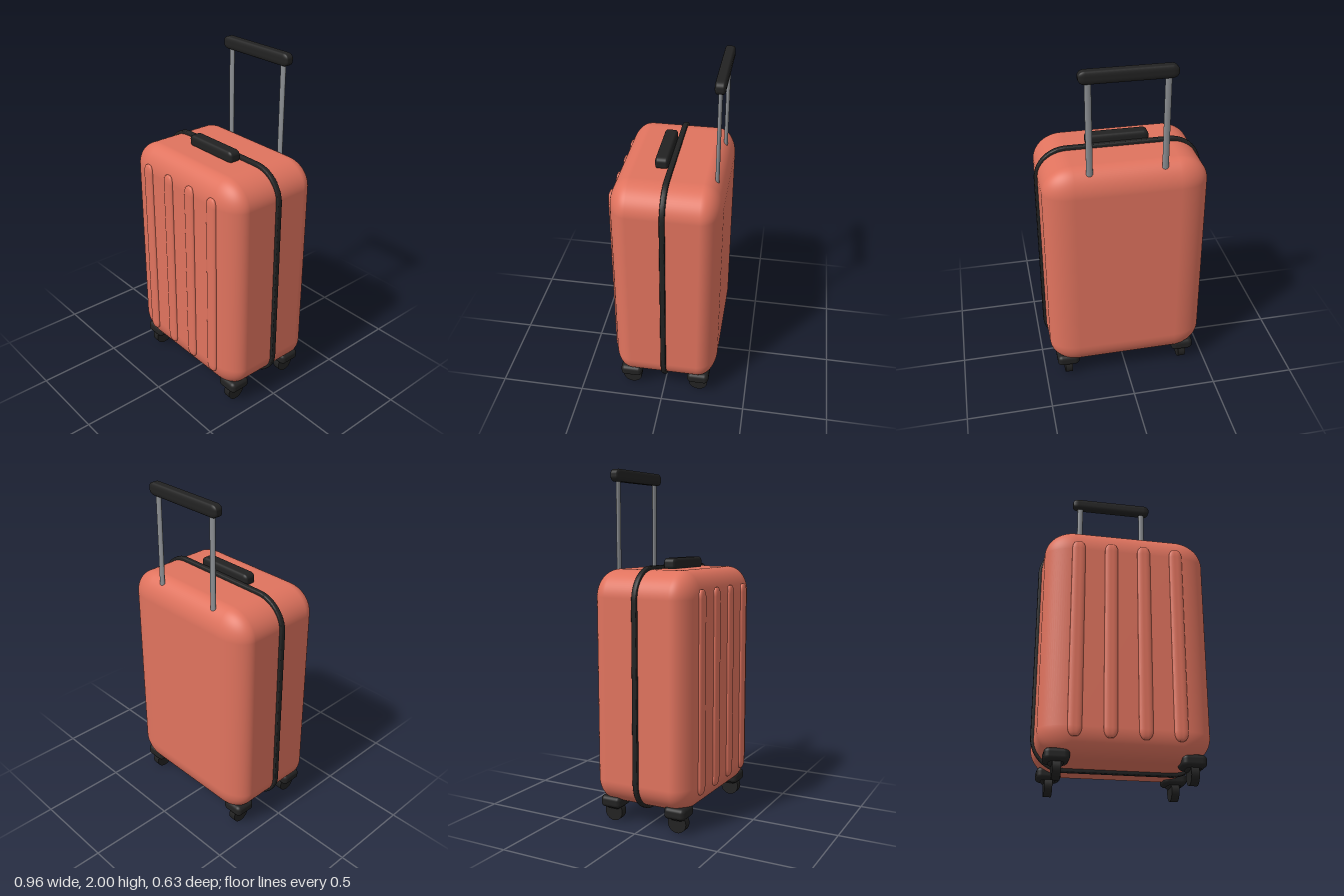
import * as THREE from 'three';
import { toCreasedNormals } from 'three/addons/utils/BufferGeometryUtils.js';

const mat = (name, color) => {
  const m = new THREE.MeshStandardMaterial({ color });
  m.name = name;
  return m;
};

// Box whose corners are ellipsoid octants with radii rx, ry, rz
function softBox(w, h, d, rx, ry, rz, k = 6) {
  const n = 2 * k + 1, flat = 1 / n;
  const geo = new THREE.BoxGeometry(2, 2, 2, n, n, n);
  const pos = geo.attributes.position, nor = geo.attributes.normal;
  const half = new THREE.Vector3(w / 2, h / 2, d / 2);
  const r = new THREE.Vector3(rx, ry, rz);
  const core = half.clone().sub(r);
  const bend = (v) => Math.sign(v) * Math.tan(((Math.abs(v) - flat) / (1 - flat)) * Math.PI / 4);
  const p = new THREE.Vector3(), dir = new THREE.Vector3(), sign = new THREE.Vector3();
  for (let i = 0; i < pos.count; i++) {
    p.fromBufferAttribute(pos, i);
    dir.set(bend(p.x), bend(p.y), bend(p.z)).normalize();
    sign.set(Math.sign(p.x), Math.sign(p.y), Math.sign(p.z));
    p.copy(core).multiply(sign).add(dir.clone().multiply(r));
    pos.setXYZ(i, p.x, p.y, p.z);
    dir.divide(r).normalize();
    nor.setXYZ(i, dir.x, dir.y, dir.z);
  }
  return geo;
}

// Rounded rectangle outline centred on the origin
function roundedRect(w, h, r) {
  const x = w / 2, y = h / 2, s = new THREE.Shape();
  s.absarc(x - r, y - r, r, 0, Math.PI / 2);
  s.absarc(r - x, y - r, r, Math.PI / 2, Math.PI);
  s.absarc(r - x, r - y, r, Math.PI, Math.PI * 1.5);
  s.absarc(x - r, r - y, r, Math.PI * 1.5, Math.PI * 2);
  s.closePath();
  return s;
}

export function createModel() {
  const group = new THREE.Group();
  group.name = 'suitcase';
  const coral = mat('coral shell', 0xe0735e);
  const black = mat('black trim', 0x222222);
  const steel = mat('grey metal', 0x8a8d91);

  const add = (name, geo, material, x, y, z) => {
    const m = new THREE.Mesh(geo, material);
    m.name = name;
    m.position.set(x, y, z);
    group.add(m);
    return m;
  };

  // Shell
  add('shell', softBox(0.926, 1.335, 0.615, 0.17, 0.15, 0.11, 10), coral, 0, 0.7775, -0.0075);

  // Raised ribs on the front
  const rib = softBox(0.075, 1.14, 0.05, 0.03, 0.05, 0.014);
  for (const x of [-0.28, -0.093, 0.093, 0.28]) add('frontRib', rib, coral, x, 0.775, 0.29);

  // Zip band around the middle
  const bevel = 0.007;
  const outline = roundedRect(0.962 - 2 * bevel, 1.375 - 2 * bevel, 0.18);
  outline.holes.push(roundedRect(0.88, 1.29, 0.15));
  const band = new THREE.ExtrudeGeometry(outline, {
    depth: 0.03 - 2 * bevel, bevelEnabled: true, bevelSize: bevel,
    bevelThickness: bevel, bevelSegments: 3, curveSegments: 16,
  });
  add('zipBand', toCreasedNormals(band, 0.7), black, 0, 0.7775, -0.025 + bevel);

  // Carry handle on top
  add('carryHandle', softBox(0.36, 0.07, 0.075, 0.03, 0.025, 0.016), black, 0, 1.47, 0.0425);

  // Telescopic handle
  add('gripBar', softBox(0.514, 0.07, 0.058, 0.035, 0.028, 0.014), black, 0, 1.965, -0.266);
  const post = new THREE.CylinderGeometry(0.018, 0.018, 0.56, 20);
  for (const side of [-1, 1]) {
    add('handlePost', post, steel, side * 0.207, 1.67, -0.266).scale.z = 0.6;
  }

  // Wheels with their housings
  const housing = softBox(0.135, 0.07, 0.13, 0.03, 0.025, 0.025);
  const fork = softBox(0.08, 0.045, 0.085, 0.02, 0.015, 0.02, 3);
  const wheel = new THREE.CylinderGeometry(0.056, 0.056, 0.044, 32).rotateZ(Math.PI / 2);
  for (const x of [-0.36, 0.36]) {
    for (const z of [-0.21, 0.2]) {
      add('wheelHousing', housing, black, x, 0.12, z);
      add('wheelFork', fork, black, x, 0.095, z);
      add('wheel', wheel, black, x, 0.056, z);
    }
  }
  return group;
}
